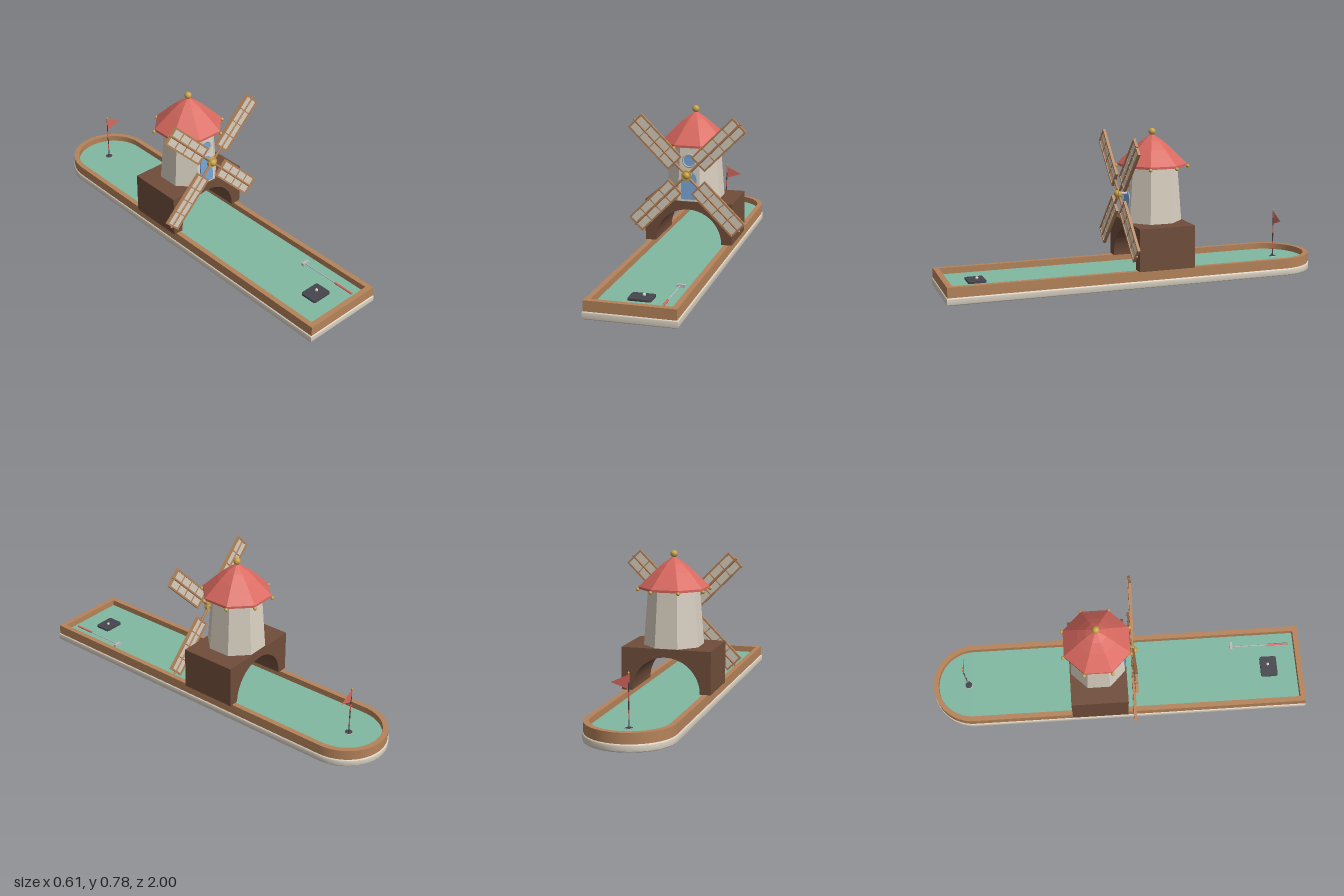
import * as THREE from 'three';
import { toCreasedNormals } from 'three/addons/utils/BufferGeometryUtils.js';

const mat = (name, color, side = THREE.FrontSide) => {
  const m = new THREE.MeshStandardMaterial({ color, side });
  m.name = name;
  return m;
};

export function createModel() {
  const root = new THREE.Group();
  root.name = 'windmillGolfHole';
  const wood = mat('wood', 0xb5835a);
  const darkWood = mat('darkWood', 0x704d3a);
  const cream = mat('cream', 0xd8cfc0);
  const red = mat('red', 0xd9695f, THREE.DoubleSide);
  const green = mat('green', 0x80b8a2);
  const blue = mat('blue', 0x78a3d4);
  const gold = mat('gold', 0xc9a348);
  const charcoal = mat('charcoal', 0x45454e);
  const steel = mat('steel', 0xb9bbbf);

  const add = (name, geo, material, x = 0, y = 0, z = 0, parent = root) => {
    const m = new THREE.Mesh(geo, material);
    m.name = name;
    m.position.set(x, y, z);
    parent.add(m);
    return m;
  };
  const box = (w, h, d) => new THREE.BoxGeometry(w, h, d);
  const ball = (r) => new THREE.SphereGeometry(r, 20, 14);
  const rod = (r, h, n = 12) => new THREE.CylinderGeometry(r, r, h, n);
  const flat = (g) => toCreasedNormals(g, 0.05);

  // Course outline: square at the front, round at the back (shape y = -z)
  const outline = (half, front, type = THREE.Shape) => {
    const s = new type();
    s.moveTo(-half, -front);
    s.lineTo(half, -front);
    s.lineTo(half, 0.78);
    s.absarc(0, 0.78, half, 0, Math.PI, false);
    s.closePath();
    return s;
  };
  const slab = (shape, h, bevel = 0) => {
    const g = new THREE.ExtrudeGeometry(shape, {
      depth: h - 2 * bevel, curveSegments: 32, bevelEnabled: bevel > 0,
      bevelSize: bevel, bevelThickness: bevel, bevelSegments: 3,
    });
    return toCreasedNormals(g.rotateX(-Math.PI / 2).translate(0, bevel, 0), 0.6);
  };

  // Course
  add('foundation', slab(outline(0.214, 0.994), 0.037, 0.006), cream);
  add('turf', slab(outline(0.192, 0.972), 0.02), green, 0, 0.036);
  const rim = outline(0.215, 0.996);
  rim.holes.push(outline(0.188, 0.968, THREE.Path));
  add('rim', slab(rim, 0.051), wood, 0, 0.037);
  const floor = 0.056;

  // Arched bridge block under the mill
  const arch = new THREE.Shape();
  arch.moveTo(-0.23, 0.088);
  arch.lineTo(-0.175, 0.088);
  arch.absarc(0, 0.088, 0.175, Math.PI, 0, true);
  arch.lineTo(0.23, 0.088);
  arch.lineTo(0.23, 0.305);
  arch.lineTo(-0.23, 0.305);
  arch.closePath();
  const archGeo = new THREE.ExtrudeGeometry(arch, { depth: 0.295, curveSegments: 32, bevelEnabled: false });
  add('archBlock', toCreasedNormals(archGeo, 0.5), darkWood, 0, 0, -0.255);

  // Octagonal tower and roof
  const cz = -0.108, corner = 1 / Math.cos(Math.PI / 8);
  const tower = new THREE.CylinderGeometry(0.12 * corner, 0.141 * corner, 0.295, 8, 1, false, Math.PI / 8);
  add('tower', flat(tower), cream, 0, 0.4525, cz);
  const profile = [[0, 0.592], [0.178, 0.588], [0.178, 0.6], [0.14, 0.637], [0.1, 0.676], [0.055, 0.715], [0, 0.752]]
    .map(([x, y]) => new THREE.Vector2(x, y));
  add('roof', flat(new THREE.LatheGeometry(profile, 8, Math.PI / 8)), red, 0, 0, cz);
  add('finial', ball(0.018), gold, 0, 0.762, cz);
  for (let i = 0; i < 8; i++) {
    const a = Math.PI / 8 + i * Math.PI / 4;
    add('eaveBall', ball(0.009), gold, 0.183 * Math.sin(a), 0.586, cz + 0.183 * Math.cos(a));
  }

  // Door and round window on the sloping front face
  const face = new THREE.Group();
  face.name = 'towerFront';
  face.position.set(0, 0.305, cz + 0.141);
  face.rotation.x = -Math.atan(0.021 / 0.295);
  root.add(face);
  const doorShape = new THREE.Shape();
  doorShape.moveTo(-0.04, 0.01);
  doorShape.lineTo(0.04, 0.01);
  doorShape.lineTo(0.04, 0.115);
  doorShape.absarc(0, 0.115, 0.04, 0, Math.PI, false);
  doorShape.closePath();
  add('door', new THREE.ExtrudeGeometry(doorShape, { depth: 0.006, curveSegments: 16, bevelEnabled: false }), blue, 0, 0, 0, face);
  add('windowGlass', rod(0.031, 0.008, 32).rotateX(Math.PI / 2), blue, 0, 0.211, 0.003, face);
  add('windowFrame', new THREE.TorusGeometry(0.032, 0.005, 10, 32), steel, 0, 0.211, 0.006, face);

  // Sails
  const sails = new THREE.Group();
  sails.name = 'sails';
  sails.position.set(0, 0.45, 0.072);
  root.add(sails);
  add('axle', rod(0.008, 0.07).rotateX(Math.PI / 2), steel, 0, 0, -0.03, sails);
  add('hub', rod(0.027, 0.016, 24).rotateX(Math.PI / 2), gold, 0, 0, 0, sails);
  add('hubCap', ball(0.019), gold, 0, 0, 0.006, sails);
  const r0 = 0.084, r1 = 0.384, mid = (r0 + r1) / 2;
  for (let i = 0; i < 4; i++) {
    const sail = new THREE.Group();
    sail.name = 'sail';
    sail.rotation.z = Math.PI / 4 + i * Math.PI / 2;
    sails.add(sail);
    add('cloth', box(0.094, r1 - r0 - 0.006, 0.004), cream, 0, mid, 0, sail);
    add('spar', rod(0.0065, 0.391, 10), wood, 0, 0.1955, 0, sail);
    for (const s of [-1, 1]) add('sideRail', box(0.009, r1 - r0, 0.014), wood, s * 0.0455, mid, 0, sail);
    for (let k = 0; k <= 4; k++) {
      const end = k === 0 || k === 4;
      const y = r0 + 0.0045 + k * (r1 - r0 - 0.009) / 4;
      add('crossBar', box(0.09, end ? 0.009 : 0.005, end ? 0.013 : 0.01), wood, 0, y, 0, sail);
    }
  }

  // Hole, striped pole and pennant
  const hz = -0.81;
  add('cup', rod(0.02, 0.003, 24), charcoal, 0, floor + 0.001, hz);
  add('cupLip', new THREE.TorusGeometry(0.02, 0.002, 8, 24).rotateX(Math.PI / 2), steel, 0, floor + 0.001, hz);
  for (let i = 0; i < 6; i++) {
    add('poleSegment', rod(0.003, 0.042, 10), i % 2 ? red : charcoal, 0, floor + 0.021 + i * 0.042, hz);
  }
  add('poleTip', ball(0.005), gold, 0, 0.31, hz);
  const pennant = new THREE.Shape([[0, 0.302], [0, 0.234], [0.085, 0.262]].map(([x, y]) => new THREE.Vector2(x, y)));
  add('pennant', new THREE.ShapeGeometry(pennant), red, 0, 0, hz);

  // Tee mat and ball
  const mat2 = new THREE.Shape();
  const w = 0.056, d = 0.045, r = 0.012;
  mat2.absarc(w - r, d - r, r, 0, Math.PI / 2, false);
  mat2.absarc(r - w, d - r, r, Math.PI / 2, Math.PI, false);
  mat2.absarc(r - w, r - d, r, Math.PI, Math.PI * 1.5, false);
  mat2.absarc(w - r, r - d, r, Math.PI * 1.5, Math.PI * 2, false);
  add('teeMat', slab(mat2, 0.01), charcoal, 0, floor, 0.82);
  add('golfBall', ball(0.008), cream, 0.01, floor + 0.017, 0.815);

  // Putter lying on the turf
  add('putterShaft', rod(0.003, 0.21, 10).rotateX(Math.PI / 2), steel, 0.125, floor + 0.007, 0.735);
  add('putterGrip', rod(0.0055, 0.11).rotateX(Math.PI / 2), red, 0.125, floor + 0.007, 0.885);
  add('putterHead', box(0.042, 0.014, 0.014), steel, 0.129, floor + 0.007, 0.628);

  return root;
}
